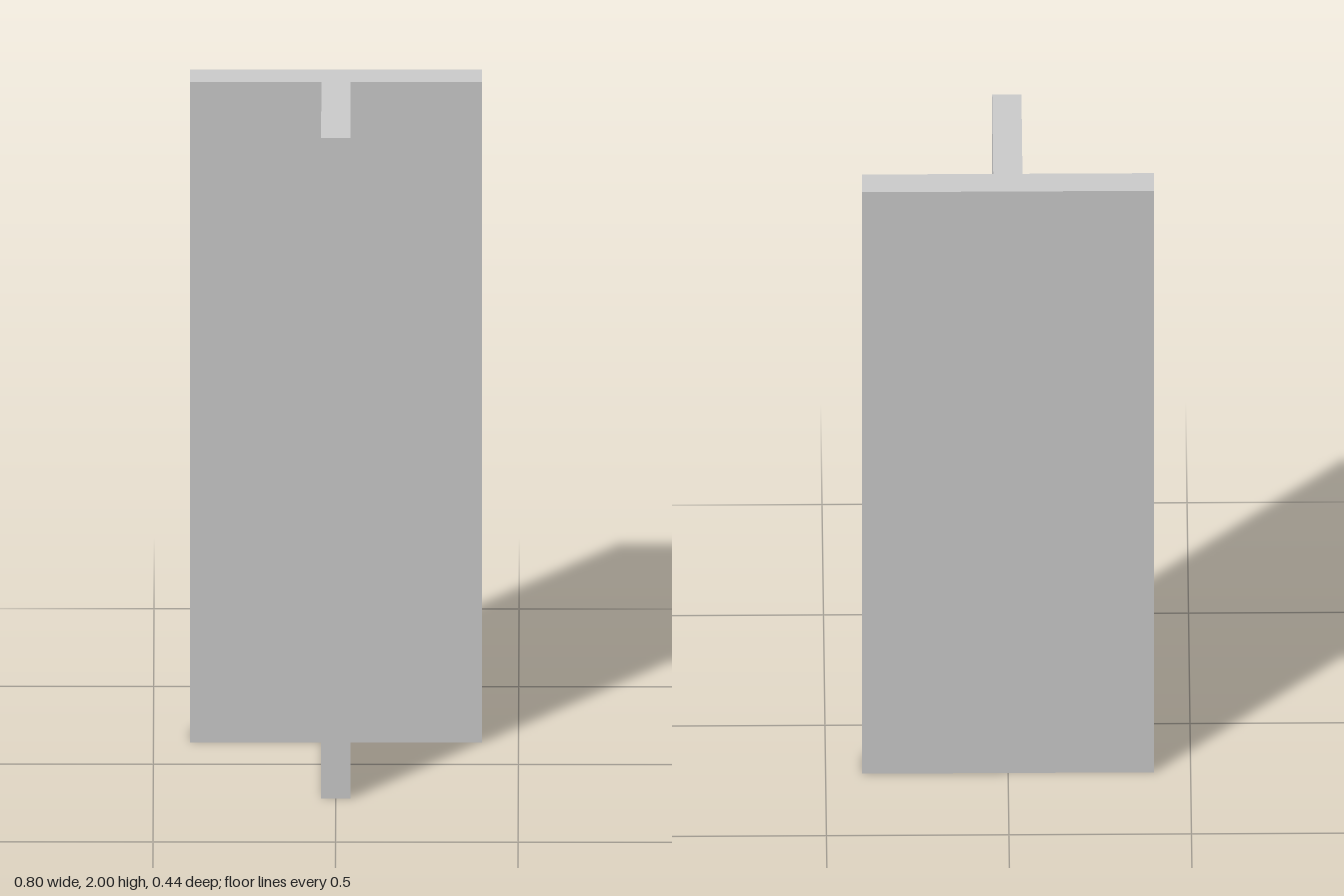
import * as THREE from 'three';

export function createModel() {
  const group = new THREE.Group();
  group.name = 'teeBeam';

  const height = 2, halfWidth = 0.4, halfDepth = 0.22, thickness = 0.08;
  const halfWeb = thickness / 2;
  const inner = halfDepth - thickness; // face where the web meets the flange

  // T-shaped cross-section: wide flange at the back, web pointing forward
  const half = [
    [halfWeb, -halfDepth],
    [halfWeb, inner],
    [halfWidth, inner],
    [halfWidth, halfDepth],
  ];
  const mirrored = half.map(([x, y]) => [-x, y]).reverse();
  const section = new THREE.Shape([...half, ...mirrored].map(([x, y]) => new THREE.Vector2(x, y)));

  // Extrude the section and stand it upright
  const geometry = new THREE.ExtrudeGeometry(section, { depth: height, bevelEnabled: false });
  geometry.rotateX(-Math.PI / 2);

  const beam = new THREE.Mesh(
    geometry,
    new THREE.MeshStandardMaterial({ color: 0xcccccc, flatShading: true })
  );
  beam.name = 'flangeAndWeb';
  group.add(beam);
  return group;
}
